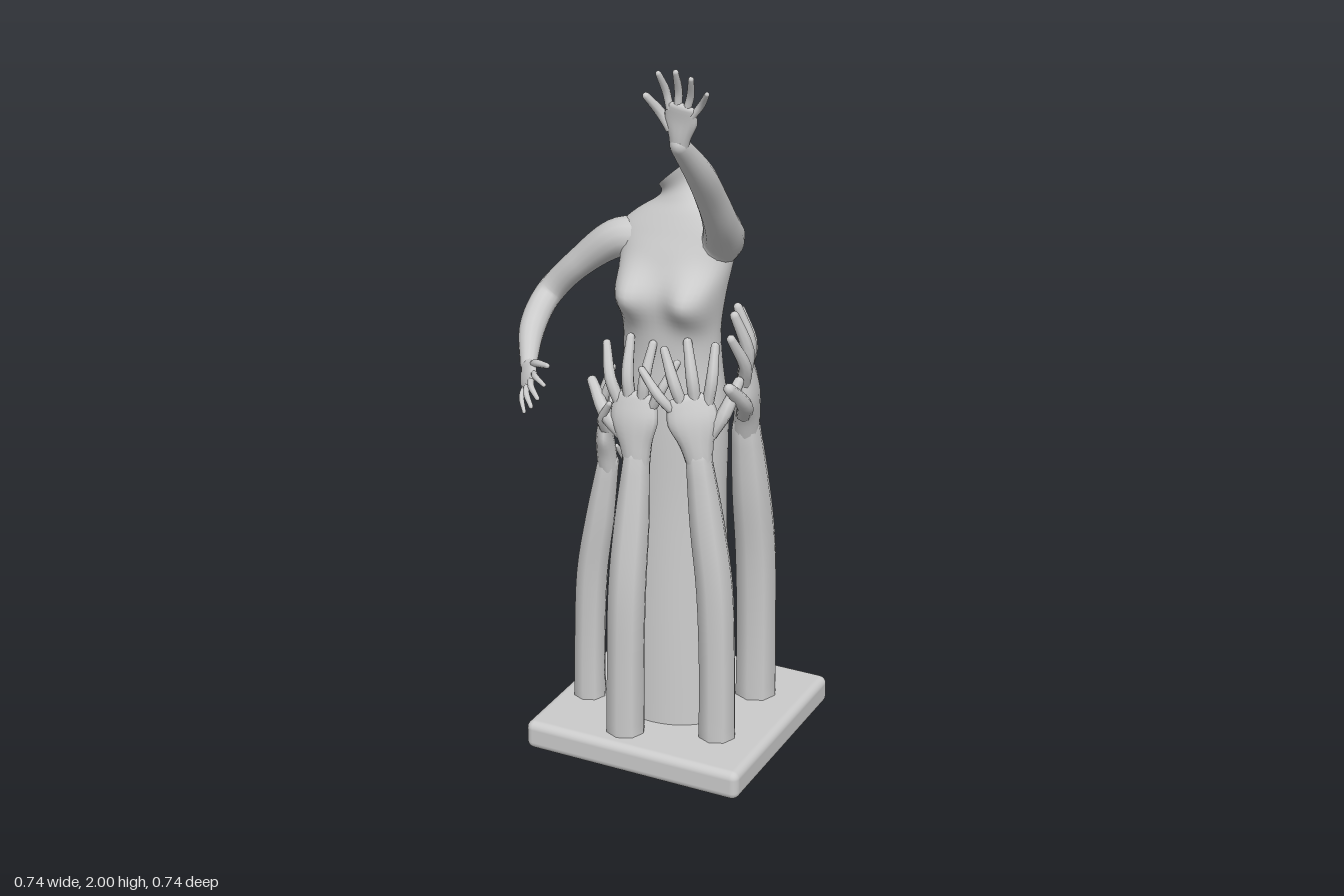
import * as THREE from 'three';
import { RoundedBoxGeometry } from 'three/addons/geometries/RoundedBoxGeometry.js';

const material = new THREE.MeshStandardMaterial({ color: 0xcccccc });
const V = (x, y, z) => new THREE.Vector3(x, y, z);
const spline = (pts) => new THREE.CatmullRomCurve3(pts, false, 'catmullrom');

// Skin a list of rings {c, u, v}: centre and two half axes, u x v pointing along the path
function loft(rings, n, rule) {
  const pos = [], idx = [];
  const addRing = (r) => {
    for (let j = 0; j < n; j++) {
      const a = (j / n) * Math.PI * 2;
      const p = r.c.clone().addScaledVector(r.u, Math.cos(a)).addScaledVector(r.v, Math.sin(a));
      if (rule) rule(p, r.c);
      pos.push(p.x, p.y, p.z);
    }
  };
  rings.forEach(addRing);
  for (let i = 0; i < rings.length - 1; i++) {
    for (let j = 0; j < n; j++) {
      const a = i * n + j, b = i * n + (j + 1) % n;
      idx.push(a, b, a + n, b, b + n, a + n);
    }
  }
  // flat caps on their own corners, so the rims stay crisp
  [rings[0], rings[rings.length - 1]].forEach((r, end) => {
    const s = pos.length / 3;
    addRing(r);
    pos.push(r.c.x, r.c.y, r.c.z);
    for (let j = 0; j < n; j++) {
      const a = s + j, b = s + (j + 1) % n;
      if (end) idx.push(s + n, a, b); else idx.push(s + n, b, a);
    }
  });
  const g = new THREE.BufferGeometry();
  g.setAttribute('position', new THREE.Float32BufferAttribute(pos, 3));
  g.setIndex(idx);
  g.computeVertexNormals();
  return g;
}

// Tapered limb through stations [position, half width, half thickness], with a rounded end
function limb(name, stations, side, n = 10, steps = 5) {
  const path = spline(stations.map((s) => s[0]));
  const size = spline(stations.map((s) => V(s[1], s[2] ?? s[1], 0)));
  const rings = [], count = (stations.length - 1) * steps;
  const ring = (t, k, push) => {
    const dir = path.getTangent(t);
    const u = side.clone().addScaledVector(dir, -side.dot(dir)).normalize();
    const v = dir.clone().cross(u);
    const s = size.getPoint(t);
    rings.push({
      c: path.getPoint(t).addScaledVector(dir, push * s.y),
      u: u.multiplyScalar(s.x * k), v: v.multiplyScalar(s.y * k),
    });
  };
  for (let i = 0; i <= count; i++) ring(i / count, 1, 0);
  for (const a of [0.5, 1, 1.4]) ring(1, Math.cos(a), Math.sin(a));
  const mesh = new THREE.Mesh(loft(rings, n), material);
  mesh.name = name;
  return mesh;
}

// Open hand: out is the back of the hand, flip swaps the thumb to the other side
function hand(name, wrist, dir, out, len, flip = 1) {
  const g = new THREE.Group();
  g.name = name;
  const d = dir.clone().normalize();
  const side = d.clone().cross(out).normalize().multiplyScalar(flip);
  const back = side.clone().cross(d).multiplyScalar(flip);
  const at = (x, y, z) => wrist.clone().addScaledVector(side, x * len)
    .addScaledVector(d, y * len).addScaledVector(back, z * len);
  g.add(limb('palm', [
    [at(0, -0.06, 0), 0.11 * len, 0.1 * len],
    [at(0, 0.12, 0.01), 0.145 * len, 0.1 * len],
    [at(0, 0.32, 0.02), 0.215 * len, 0.085 * len],
    [at(0.01, 0.5, 0), 0.19 * len, 0.06 * len],
  ], side, 14, 4));
  // root x, root y, tip x, tip y, thickness
  const fingers = {
    thumb: [-0.12, 0.18, -0.42, 0.58, 0.062],
    indexFinger: [-0.14, 0.45, -0.27, 0.91, 0.05],
    middleFinger: [-0.04, 0.47, -0.05, 0.98, 0.052],
    ringFinger: [0.07, 0.46, 0.15, 0.94, 0.05],
    littleFinger: [0.15, 0.42, 0.36, 0.8, 0.043],
  };
  for (const [label, [x0, y0, x1, y1, r]] of Object.entries(fingers)) {
    g.add(limb(label, [
      [at(x0, y0, 0), r * len],
      [at(x0 + (x1 - x0) * 0.5, y0 + (y1 - y0) * 0.45, 0.02), r * len],
      [at(x1, y1, -0.07), r * 0.72 * len],
    ], side, 8, 4));
  }
  return g;
}

function createTorso() {
  // y, centre x, centre z, half width, half depth, slope across
  const profile = [
    [0.06, 0.04, -0.05, 0.165, 0.14, 0], [0.35, 0.04, -0.05, 0.155, 0.13, 0],
    [0.7, 0.04, -0.05, 0.145, 0.115, 0], [0.95, 0.038, -0.05, 0.15, 0.11, 0],
    [1.1, 0.036, -0.045, 0.138, 0.095, 0], [1.2, 0.036, -0.04, 0.135, 0.09, 0],
    [1.3, 0.038, -0.045, 0.145, 0.088, 0], [1.39, 0.04, -0.06, 0.158, 0.08, 0],
    [1.45, 0.04, -0.075, 0.165, 0.068, 0.05], [1.495, 0.038, -0.085, 0.125, 0.055, 0.1],
    [1.53, 0.032, -0.095, 0.07, 0.045, 0.2], [1.56, 0.026, -0.1, 0.047, 0.042, 0.5],
    [1.597, 0.022, -0.102, 0.048, 0.06, 0.9],
  ];
  const path = spline(profile.map((p) => V(p[1], p[0], p[2])));
  const size = spline(profile.map((p) => V(p[3], p[4], p[5])));
  const rings = [];
  for (let i = 0; i <= 72; i++) {
    const s = size.getPoint(i / 72);
    rings.push({ c: path.getPoint(i / 72), u: V(s.x, s.x * s.z, 0), v: V(0, 0, -s.y) });
  }
  // bust swells out of the front half
  const bust = (p, c) => {
    if (p.z <= c.z) return;
    for (const x of [-0.05, 0.13]) {
      const r2 = (p.x - x) ** 2 + (p.y - 1.295) ** 2;
      p.z += 0.066 * Math.exp(-r2 / 0.0042) * Math.min(1, (p.z - c.z) / 0.04);
    }
  };
  const mesh = new THREE.Mesh(loft(rings, 48, bust), material);
  mesh.name = 'torsoAndColumn';
  return mesh;
}

export function createModel() {
  const model = new THREE.Group();
  model.name = 'reachingHandsStatue';

  const base = new THREE.Mesh(new RoundedBoxGeometry(0.635, 0.082, 0.615, 3, 0.022), material);
  base.name = 'base';
  base.position.set(0.05, 0.043, -0.0625);
  model.add(base, createTorso());

  // bent right arm
  const rightWrist = V(-0.262, 1.115, 0.195);
  model.add(limb('rightArm', [
    [V(-0.05, 1.41, -0.07), 0.055], [V(-0.135, 1.4, -0.06), 0.052],
    [V(-0.24, 1.32, -0.055), 0.04], [V(-0.33, 1.222, -0.045), 0.037],
    [V(-0.318, 1.165, 0.07), 0.035], [rightWrist, 0.022],
  ], V(0.4, 0.7, 0.6), 14, 7));
  model.add(hand('rightHand', rightWrist, V(0.52, -0.2, 0.83), V(-0.75, 0.5, 0.55), 0.165, 1));

  // raised left arm
  const leftWrist = V(0.226, 1.8, 0.312);
  model.add(limb('leftArm', [
    [V(0.125, 1.4, -0.075), 0.06], [V(0.175, 1.45, -0.05), 0.056],
    [V(0.205, 1.525, 0.035), 0.045], [V(0.218, 1.61, 0.115), 0.04],
    [V(0.228, 1.7, 0.205), 0.036], [leftWrist, 0.024],
  ], V(1, 0, 0), 14, 6));
  model.add(hand('leftHand', leftWrist, V(0.12, 0.97, 0.18), V(0, 0.15, -1), 0.2, -1));

  // six arms rising from the base, hands resting on the body
  const reaching = [
    { foot: [-0.005, 0.155], wrist: V(0.003, 0.87, 0.1), dir: V(-0.08, 1, -0.08), out: V(0, 0, 1), len: 0.32, flip: 1 },
    { foot: [0.228, 0.07], wrist: V(0.17, 0.89, 0.075), dir: V(-0.18, 1, -0.02), out: V(0.45, 0, 0.9), len: 0.31, flip: -1 },
    { foot: [-0.185, 0.02], wrist: V(-0.118, 0.8, 0.03), dir: V(-0.02, 1, 0.05), out: V(-0.9, 0, 0.4), len: 0.27, flip: 1 },
    { foot: [-0.12, -0.175], wrist: V(-0.105, 0.62, -0.155), dir: V(0.05, 1, 0.06), out: V(-0.55, 0, -0.83), len: 0.22, flip: 1 },
    { foot: [0.05, -0.24], wrist: V(0.05, 0.8, -0.18), dir: V(-0.08, 1, 0.04), out: V(0, 0, -1), len: 0.27, flip: -1 },
    { foot: [0.222, -0.195], wrist: V(0.212, 0.91, -0.125), dir: V(0.05, 1, 0.16), out: V(0.92, 0, -0.3), len: 0.35, flip: 1 },
  ];
  reaching.forEach(({ foot: [x, z], wrist, dir, out, len, flip }, i) => {
    const along = (y, k) => V(x + (wrist.x - x) * k, y, z + (wrist.z - z) * k);
    const r = len * 0.17, h = wrist.y;
    const arm = new THREE.Group();
    arm.name = 'reachingArm' + (i + 1);
    arm.add(limb('forearm', [
      [along(0.06, 0), r], [along(h * 0.32, 0.03), r * 0.97],
      [along(h * 0.58, 0.18), r * 0.98], [along(h * 0.8, 0.6), r * 0.9],
      [wrist, len * 0.115],
    ], V(1, 0, 0), 8, 4));
    arm.add(hand('reachingHand', wrist, dir, out, len, flip));
    model.add(arm);
  });
  return model;
}
